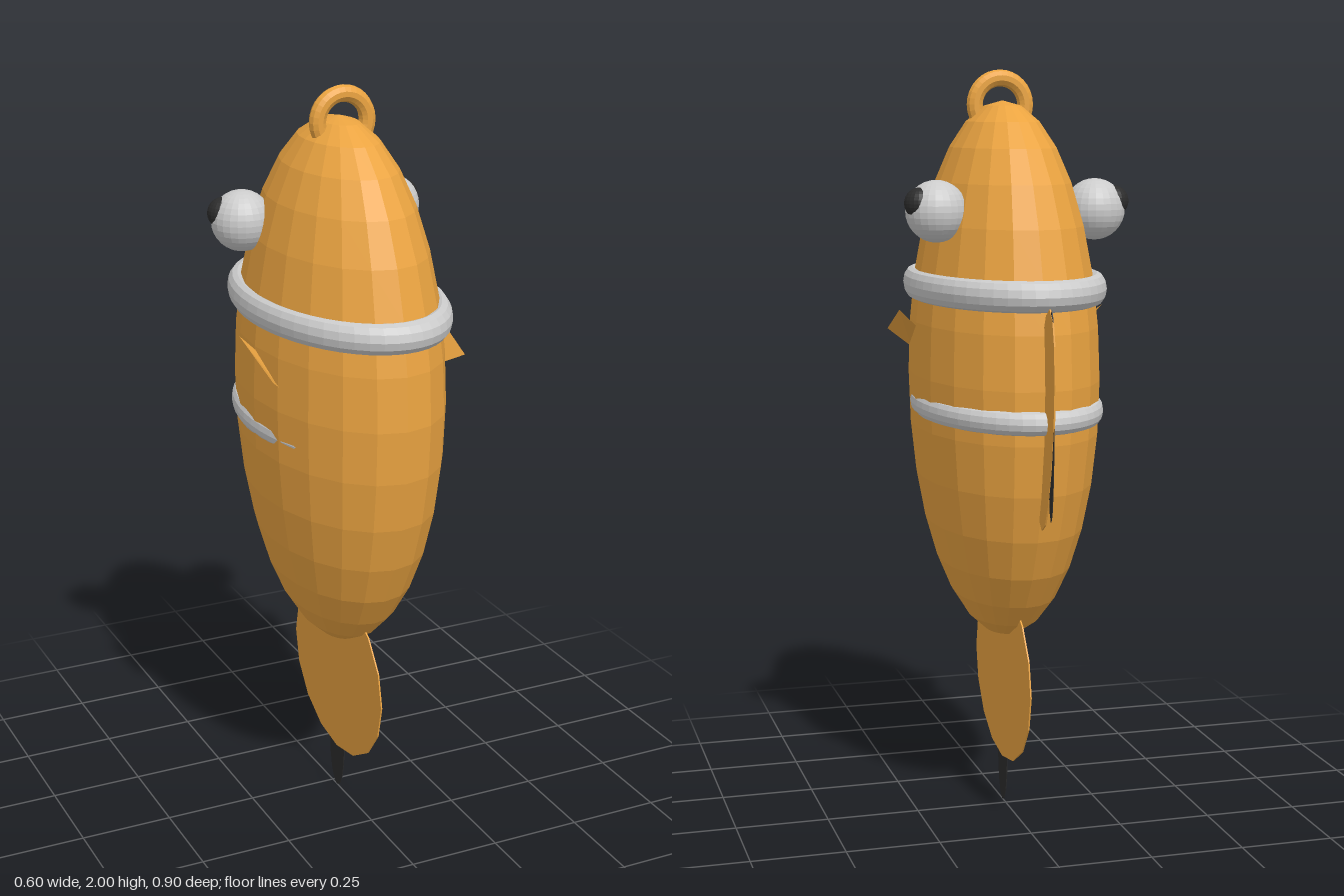
import * as THREE from 'three';

const mat = (color, extra = {}) => new THREE.MeshStandardMaterial({ color, flatShading: true, ...extra });

export function createModel() {
  const model = new THREE.Group();
  const orange = mat(0xeba441), white = mat(0xf0f0f0), black = mat(0x2c2c2c);
  const orangeThin = mat(0xeba441, { side: THREE.DoubleSide });

  const add = (name, geometry, material, x, y, z) => {
    const mesh = new THREE.Mesh(geometry, material);
    mesh.name = name;
    mesh.position.set(x, y, z);
    model.add(mesh);
    return mesh;
  };

  // Upright egg-shaped body, narrow from side to side
  add('body', new THREE.SphereGeometry(1, 20, 16).scale(0.242, 0.72, 0.405), orange, 0, 1.2, 0.032);

  // Bands: horizontal rings squeezed to the body's oval; the lower one sinks in towards the front
  const band = (name, radius, tube, y, z) =>
    add(name, new THREE.TorusGeometry(radius, tube, 12, 48).rotateX(Math.PI / 2).scale(0.6, 1, 1), white, 0, y, z);
  band('upperBand', 0.385, 0.04, 1.438, 0.027);
  band('lowerBand', 0.375, 0.031, 1.12, 0.01);

  // Hanging loop on top
  add('hangingLoop', new THREE.TorusGeometry(0.069, 0.022, 10, 32), orange, 0, 1.909, 0.056);

  // Thin oval plates in the middle plane: tail and back fin with dark edges
  const plate = (name, material, halfZ, halfY, thickness, y, z, tilt = 0) => {
    const disc = new THREE.CylinderGeometry(1, 1, thickness, 16).rotateZ(Math.PI / 2);
    add(name, disc.scale(1, halfY, halfZ), material, 0, y, z).rotation.x = tilt;
  };
  plate('tailFin', orange, 0.276, 0.245, 0.004, 0.37, 0.03);
  plate('tailTip', black, 0.046, 0.14, 0.002, 0.14, 0.03);
  plate('backFin', orange, 0.07, 0.287, 0.004, 1.127, -0.374, -0.107);
  plate('backFinEdge', black, 0.024, 0.267, 0.002, 1.145, -0.42);

  for (const [side, s] of [['left', 1], ['right', -1]]) {
    // Eyes
    add(side + 'Eye', new THREE.SphereGeometry(0.08, 24, 16), white, s * 0.213, 1.64, -0.1);
    add(side + 'Pupil', new THREE.SphereGeometry(0.041, 20, 14), black, s * 0.259, 1.661, -0.114);

    // Side fin: slanted sheet whose inner edge is buried in the body
    const fin = new THREE.BufferGeometry();
    fin.setAttribute('position', new THREE.Float32BufferAttribute([
      s * 0.282, 1.375, 0.035, s * 0.272, 1.305, 0.228,
      s * 0.222, 1.262, 0.155, s * 0.215, 1.31, 0.037], 3));
    fin.setIndex(s > 0 ? [0, 2, 1, 0, 3, 2] : [0, 1, 2, 0, 2, 3]);
    fin.computeVertexNormals();
    add(side + 'Fin', fin, orangeThin, 0, 0, 0);
  }
  return model;
}
